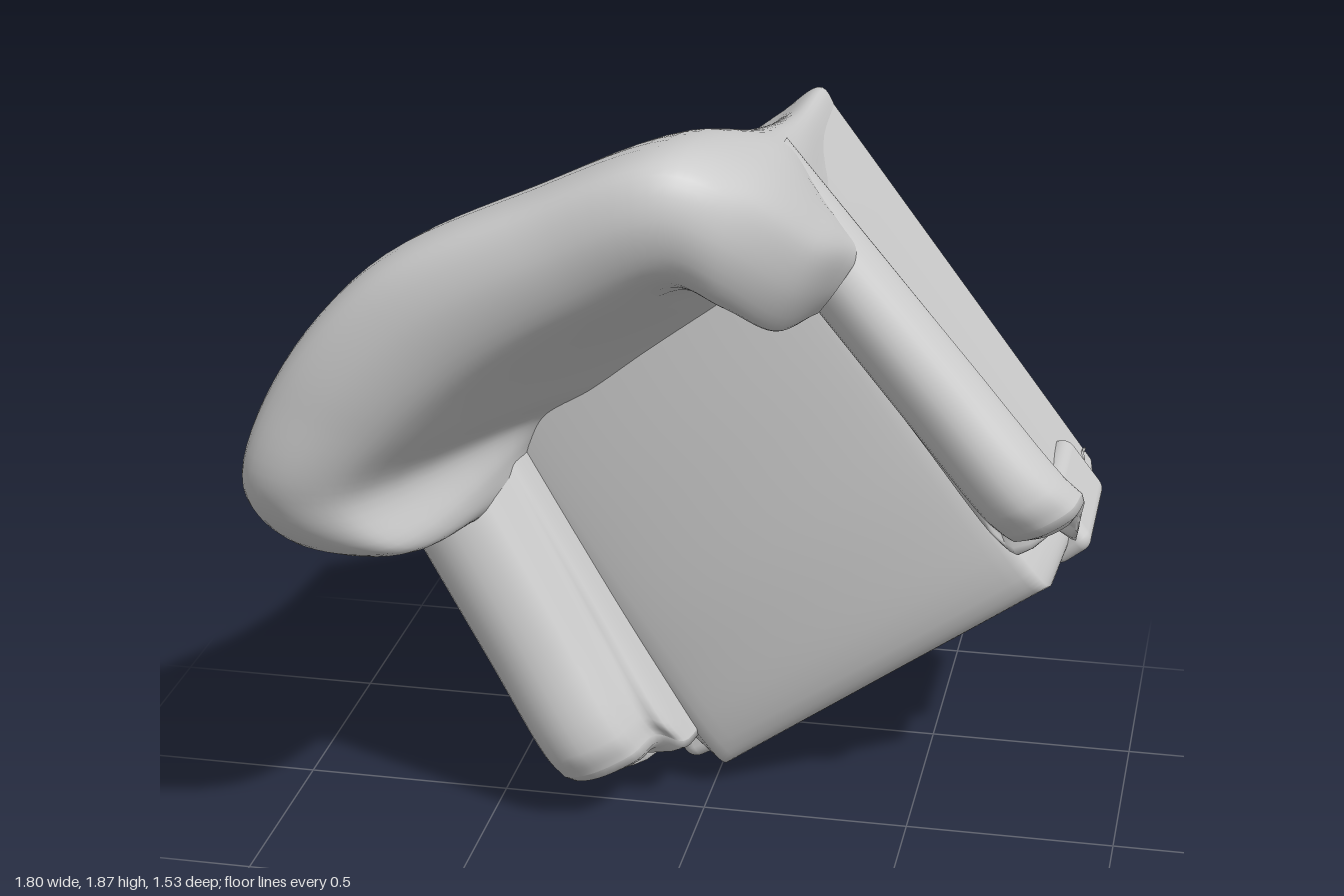
import * as THREE from 'three';
import { RoundedBoxGeometry } from 'three/addons/geometries/RoundedBoxGeometry.js';

const material = new THREE.MeshStandardMaterial({ color: 0xcccccc, side: THREE.DoubleSide });
const V = (x, y, z) => new THREE.Vector3(x, y, z);
const mix = (a, b, t) => [a[0] + (b[0] - a[0]) * t, a[1] + (b[1] - a[1]) * t];

// Smoothly resample a list of points
const resample = (pts, n) => {
  const c = new THREE.CatmullRomCurve3(pts);
  return Array.from({ length: n + 1 }, (_, k) => c.getPoint(k / n));
};

// Surface through a grid of points
function gridMesh(name, grid) {
  const w = grid[0].length, index = [];
  for (let r = 0; r < grid.length - 1; r++) {
    for (let c = 0; c < w - 1; c++) {
      const a = r * w + c;
      index.push(a, a + 1, a + w, a + 1, a + w + 1, a + w);
    }
  }
  const g = new THREE.BufferGeometry().setFromPoints(grid.flat());
  g.setIndex(index);
  g.computeVertexNormals();
  const mesh = new THREE.Mesh(g, material);
  mesh.name = name;
  return mesh;
}

// Loft smooth cross-sections into a smooth grid
function loft(sections, across, along) {
  const rows = sections.map((s) => resample(s, across));
  const cols = rows[0].map((_, c) => resample(rows.map((r) => r[c]), along));
  return Array.from({ length: along + 1 }, (_, r) => cols.map((c) => c[r]));
}

// The chair lies with its seat towards +z; the hem is a little higher at the back
const hem = ([x, y]) => -0.77 - (0.59 * x - 0.81 * y + 0.07) * 0.09;

// Upholstered wall section: hem, outer wall, roll over the top, inner face down to the seat
function section({ f, o, i, b, h }) {
  const at = (p, z) => V(p[0], p[1], z);
  const roll = 0.09, shoulder = h - roll * 1.4;
  return [
    at(f, hem(f)),
    at(mix(f, o, 0.1), -0.4),
    at(mix(f, o, 0.46), -0.03),
    at(mix(f, o, 0.82), (shoulder - 0.03) / 2),
    at(mix(f, o, 0.99), shoulder),
    at(mix(o, i, 0.1), h - roll * 0.4),
    at(mix(o, i, 0.45), h),
    at(mix(o, i, 0.85), h - roll * 0.4),
    at(mix(i, b, 0.1), h - roll * 1.5),
    at(mix(i, b, 0.75), Math.min(h - roll * 1.8, 0.08)),
    at(b, -0.1),
  ];
}

function backrest() {
  // f: outer hem, o: outer top, i: inner top, b: foot of the inner face, h: height
  const stations = [
    { f: [-0.65, 0.89], o: [-0.76, 0.79], i: [-0.48, 0.82], b: [-0.45, 0.87], h: 0.22 },
    { f: [-0.69, 0.94], o: [-0.86, 0.92], i: [-0.56, 0.9], b: [-0.42, 0.94], h: 0.62 },
    { f: [-0.72, 0.99], o: [-0.91, 1.09], i: [-0.65, 1.07], b: [-0.37, 1.0], h: 0.74 },
    { f: [-0.6, 1.1], o: [-0.82, 1.34], i: [-0.53, 1.23], b: [-0.25, 1.07], h: 0.76 },
    { f: [-0.38, 1.26], o: [-0.6, 1.6], i: [-0.36, 1.38], b: [-0.12, 1.17], h: 0.76 },
    { f: [-0.12, 1.46], o: [-0.27, 1.77], i: [-0.12, 1.53], b: [0.02, 1.28], h: 0.755 },
    { f: [0.06, 1.6], o: [0.05, 1.89], i: [0.05, 1.61], b: [0.12, 1.36], h: 0.75 },
    { f: [0.16, 1.67], o: [0.21, 1.82], i: [0.15, 1.54], b: [0.21, 1.38], h: 0.69 },
    { f: [0.21, 1.58], o: [0.33, 1.65], i: [0.23, 1.42], b: [0.27, 1.37], h: 0.5 },
    { f: [0.26, 1.48], o: [0.38, 1.52], i: [0.28, 1.37], b: [0.29, 1.36], h: 0.22 },
  ];
  return gridMesh('backrest', loft(stations.map(section), 44, 64));
}

// Rolled arm with a closed, slightly bulging front
function arm(name, start, end) {
  const stations = [0, 0.3, 0.65, 0.93, 1].map((t) => {
    const s = { h: t === 1 ? 0.17 : 0.2 };
    for (const k of ['f', 'o', 'i', 'b']) s[k] = mix(start[k], end[k], t);
    return section(s);
  });
  const grid = loft(stations, 44, 24);
  const group = new THREE.Group();
  group.name = name;
  group.add(gridMesh(name + 'Cover', grid));

  const rim = grid[grid.length - 1];
  const mid = rim.reduce((a, p) => a.add(p), V(0, 0, 0)).divideScalar(rim.length);
  const loop = [...rim, rim[0]];
  const cap = [[1, 0], [0.92, 0.02], [0.6, 0.03], [0, 0.03]].map(([k, push]) =>
    loop.map((p) => mid.clone().lerp(p, k).add(V(0.59 * push, -0.81 * push, 0))));
  group.add(gridMesh(name + 'Front', cap));
  return group;
}

// Seat cushion running over its front edge into the rail and the hem
function seat() {
  const backL = [-0.56, 0.98], backR = [0.22, 1.47];
  const frontL = [0.035, 0.075], frontR = [0.815, 0.625];
  const N = 28;
  const rows = [];
  for (let k = 0; k <= N; k++) {
    const u = k / N;
    const crown = 0.035 * Math.sqrt(Math.max(0, Math.sin(Math.PI * u)));
    const rear = mix(backL, backR, u), front = mix(frontL, frontR, u);
    const p = (t, z) => V(...mix(rear, front, t), z);
    rows.push(resample([
      p(0, -0.06 + crown), p(0.35, -0.06 + crown), p(0.7, -0.07 + crown), p(0.93, -0.09 + crown * 0.6),
      p(0.99, -0.12), p(1, -0.2), p(0.995, -0.28), p(0.97, -0.305), p(0.98, -0.33),
      p(0.98, -0.58), p(0.965, -0.61), p(0.975, -0.64), p(0.97, -0.755),
    ], 60));
  }
  // Side returns tuck down under the arms and meet the wall ends
  const tuck = (row, side) => row.map((q) =>
    V(q.x + side * 0.065 - 0.03, q.y + side * 0.046 + 0.04, Math.max(q.z - 0.13, -0.765)));
  return gridMesh('seat', [tuck(rows[0], -1), ...rows, tuck(rows[N], 1)]);
}

// Padded block at the foot of each arm
function post(name, x, y, turn) {
  const mesh = new THREE.Mesh(new RoundedBoxGeometry(0.12, 0.18, 0.38, 5, 0.035), material);
  mesh.name = name;
  mesh.position.set(x, y, -0.43);
  mesh.rotation.z = turn;
  return mesh;
}

export function createModel() {
  const model = new THREE.Group();
  model.name = 'armchair';
  model.add(
    backrest(),
    seat(),
    arm('rightArm',
      { f: [-0.71, 0.97], o: [-0.82, 1.0], i: [-0.55, 1.06], b: [-0.52, 1.05] },
      { f: [-0.07, 0.1], o: [-0.34, 0.13], i: [-0.12, 0.23], b: [-0.03, 0.19] }),
    arm('leftArm',
      { f: [0.16, 1.67], o: [0.2, 1.76], i: [0.12, 1.56], b: [0.14, 1.53] },
      { f: [0.85, 0.7], o: [0.89, 0.95], i: [0.7, 0.85], b: [0.73, 0.75] }),
    post('rightPost', -0.078, 0.115, 0.5),
    post('leftPost', 0.805, 0.725, 0.66),
  );
  return model;
}
